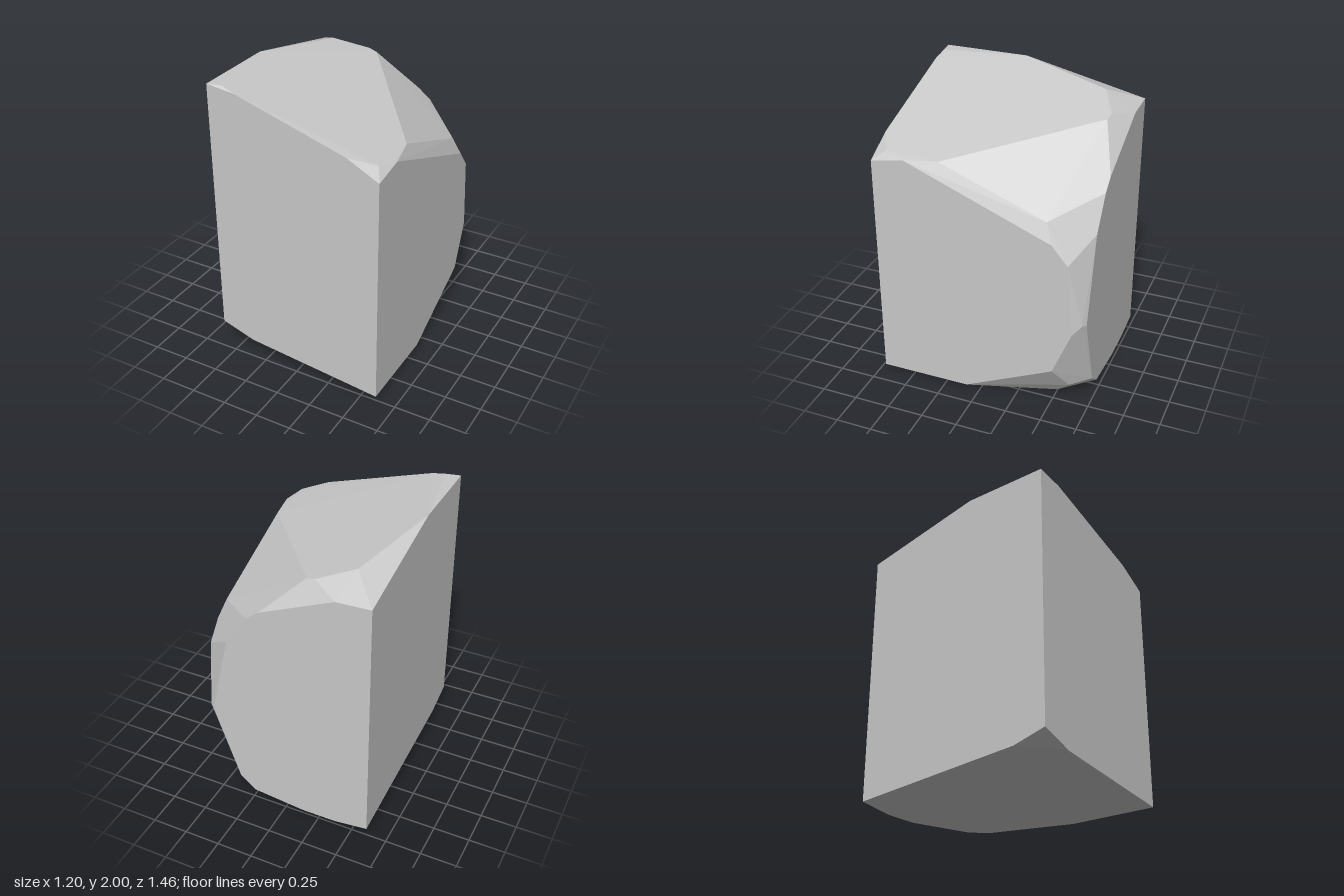
import * as THREE from 'three';
import { ConvexGeometry } from 'three/addons/geometries/ConvexGeometry.js';

// Corners of the broken stone block, grouped by facet ring: [x, y, z]
const corners = [
  // front face
  [-0.6, 2, 0.73], [-0.4, 1.975, 0.73], [0.38, 1.735, 0.73], [0.6, 1.62, 0.73],
  [0.6, 0.01, 0.73], [-0.36, 0.12, 0.73], [-0.6, 0.2, 0.73],
  // sloping top
  [-0.5, 2, 0.71], [-0.6, 2, 0.13], [-0.41, 1.915, -0.51], [-0.18, 1.845, -0.62],
  [-0.12, 1.83, -0.61], [0.555, 1.67, 0.28], [0.59, 1.665, 0.5], [0.55, 1.685, 0.64],
  // flat side and its worn edge
  [0.6, 1.66, 0.5], [0.555, 1.39, -0.45], [0.6, 1.26, -0.5], [0.6, 1.13, -0.61],
  [0.6, 0.62, -0.65], [0.6, 0.3, -0.52], [0.6, 0.01, 0.1],
  // back face
  [-0.6, 1.81, -0.73], [-0.36, 1.8, -0.73], [0.16, 1.57, -0.73], [0.25, 1.5, -0.73],
  [0.4, 1.28, -0.73], [0.54, 0.68, -0.73], [0.57, 0.69, -0.71], [0.36, 0.13, -0.73],
  [0.25, 0.04, -0.73], [-0.12, 0, -0.73], [-0.36, 0, -0.73], [-0.6, 0.03, -0.73],
  // underside
  [-0.6, 0.135, 0.5], [0.46, 0.11, -0.6], [0.3, 0.005, -0.6], [0.41, 0.005, -0.5],
];

export function createModel() {
  const group = new THREE.Group();
  group.name = 'rock';

  const stone = new THREE.MeshStandardMaterial({ color: 0xc8c8c8, flatShading: true });
  stone.name = 'stone grey';

  const block = new THREE.Mesh(
    new ConvexGeometry(corners.map((c) => new THREE.Vector3(...c))),
    stone
  );
  block.name = 'stoneBlock';
  group.add(block);
  return group;
}
